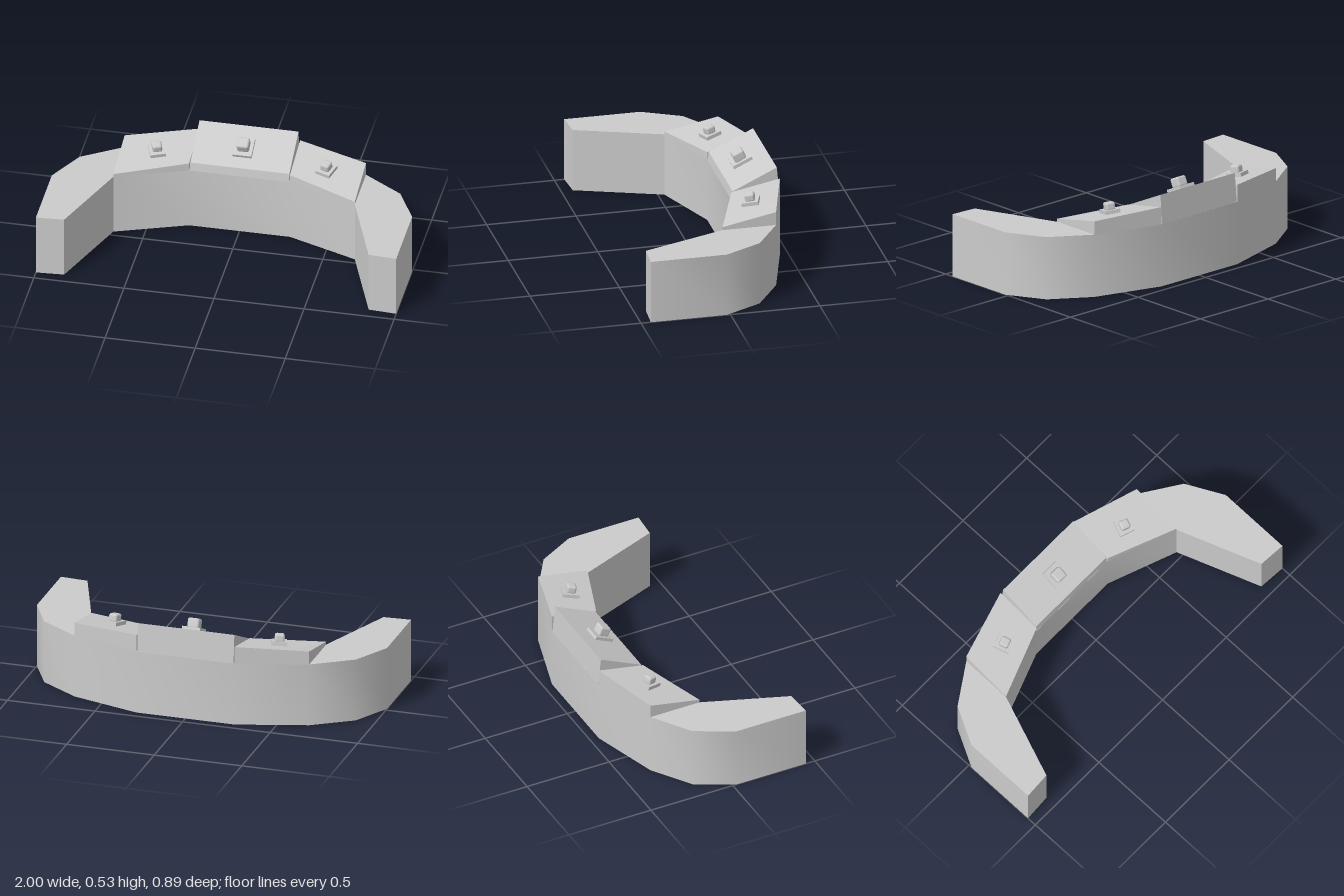
import * as THREE from 'three';
import { toCreasedNormals } from 'three/addons/utils/BufferGeometryUtils.js';
import { RoundedBoxGeometry } from 'three/addons/geometries/RoundedBoxGeometry.js';

const material = new THREE.MeshStandardMaterial({ color: 0xcccccc });
const DESK_TOP = 0.357;

function addMesh(parent, name, geometry) {
  const mesh = new THREE.Mesh(geometry, material);
  mesh.name = name;
  parent.add(mesh);
  return mesh;
}

// Solid between a flat four-corner base and a four-corner top,
// corners running counter-clockwise as seen from above
function wedge(base, top) {
  const pos = [];
  const quad = (a, b, c, d) => pos.push(...a, ...b, ...c, ...a, ...c, ...d);
  for (let i = 0; i < 4; i++) {
    const j = (i + 1) % 4;
    quad(base[i], base[j], top[j], top[i]);
  }
  quad(...top);
  quad(...[...base].reverse());
  const geometry = new THREE.BufferGeometry();
  geometry.setAttribute('position', new THREE.Float32BufferAttribute(pos, 3));
  return toCreasedNormals(geometry, 0.6);
}

// Knob on a square plate, standing on a sloped panel
function addControl(parent, name, position, along, normal, knobWidth, knobHeight) {
  const control = new THREE.Group();
  control.name = name;
  const n = normal.clone().normalize();
  const u = along.clone().addScaledVector(n, -along.dot(n)).normalize();
  const v = new THREE.Vector3().crossVectors(u, n);
  control.quaternion.setFromRotationMatrix(new THREE.Matrix4().makeBasis(u, n, v));
  control.position.set(...position);
  const side = knobWidth > 0.06 ? 0.104 : 0.085;
  addMesh(control, 'plate', new THREE.BoxGeometry(side, 0.028, side * 1.1)).position.y = 0.004;
  addMesh(control, 'knob', new RoundedBoxGeometry(knobWidth, knobHeight, knobWidth, 2, 0.012))
    .position.y = 0.012 + knobHeight / 2;
  parent.add(control);
}

export function createModel() {
  const model = new THREE.Group();
  model.name = 'curvedConsole';

  // Curved desk body: outer edge one way, inner edge back
  const outer = [[1, 0.445], [1, 0.02], [0.89, -0.19], [0.67, -0.335], [0.28, -0.45]];
  const inner = [[0.28, -0.18], [0.67, -0.035], [0.845, 0.435]];
  const half = [...outer].reverse();
  const mirror = (list) => list.map(([x, z]) => [-x, z]);
  const outline = [
    ...outer, ...mirror(half),
    ...mirror([...inner].reverse()), ...inner,
  ];
  const shape = new THREE.Shape(outline.map(([x, z]) => new THREE.Vector2(x, -z)));
  const body = new THREE.ExtrudeGeometry(shape, { depth: DESK_TOP, bevelEnabled: false });
  body.rotateX(-Math.PI / 2);
  addMesh(model, 'deskBody', toCreasedNormals(body, 0.6));

  // Raised centre panel, sloping down to the front
  const b = DESK_TOP - 0.005;
  addMesh(model, 'centrePanel', wedge(
    [[-0.275, b, -0.18], [0.275, b, -0.18], [0.275, b, -0.45], [-0.275, b, -0.45]],
    [[-0.275, 0.404, -0.188], [0.275, 0.404, -0.188], [0.275, 0.52, -0.435], [-0.275, 0.52, -0.435]],
  ));
  addControl(model, 'centreControl', [0, 0.458, -0.303],
    new THREE.Vector3(1, 0, 0), new THREE.Vector3(0, 0.247, 0.116), 0.067, 0.057);

  // Lower side panels, mirrored left and right
  for (const s of [1, -1]) {
    const side = s > 0 ? 'left' : 'right';
    const corners = [[0.28, 0.402, -0.18], [0.67, 0.374, -0.035], [0.67, 0.433, -0.335], [0.28, 0.455, -0.45]];
    let top = corners.map(([x, y, z]) => [s * x, y, z]);
    if (s < 0) top = top.reverse();
    const base = top.map(([x, , z]) => [x, b, z]);
    addMesh(model, side + 'Panel', wedge(base, top));

    const p = top.map((c) => new THREE.Vector3(...c));
    const normal = p[2].clone().sub(p[0]).cross(p[3].clone().sub(p[1]));
    const along = new THREE.Vector3(1, -0.07 * s, 0.34 * s);
    addControl(model, side + 'Control', [s * 0.47, 0.417, -0.243], along, normal, 0.054, 0.046);
  }
  return model;
}
